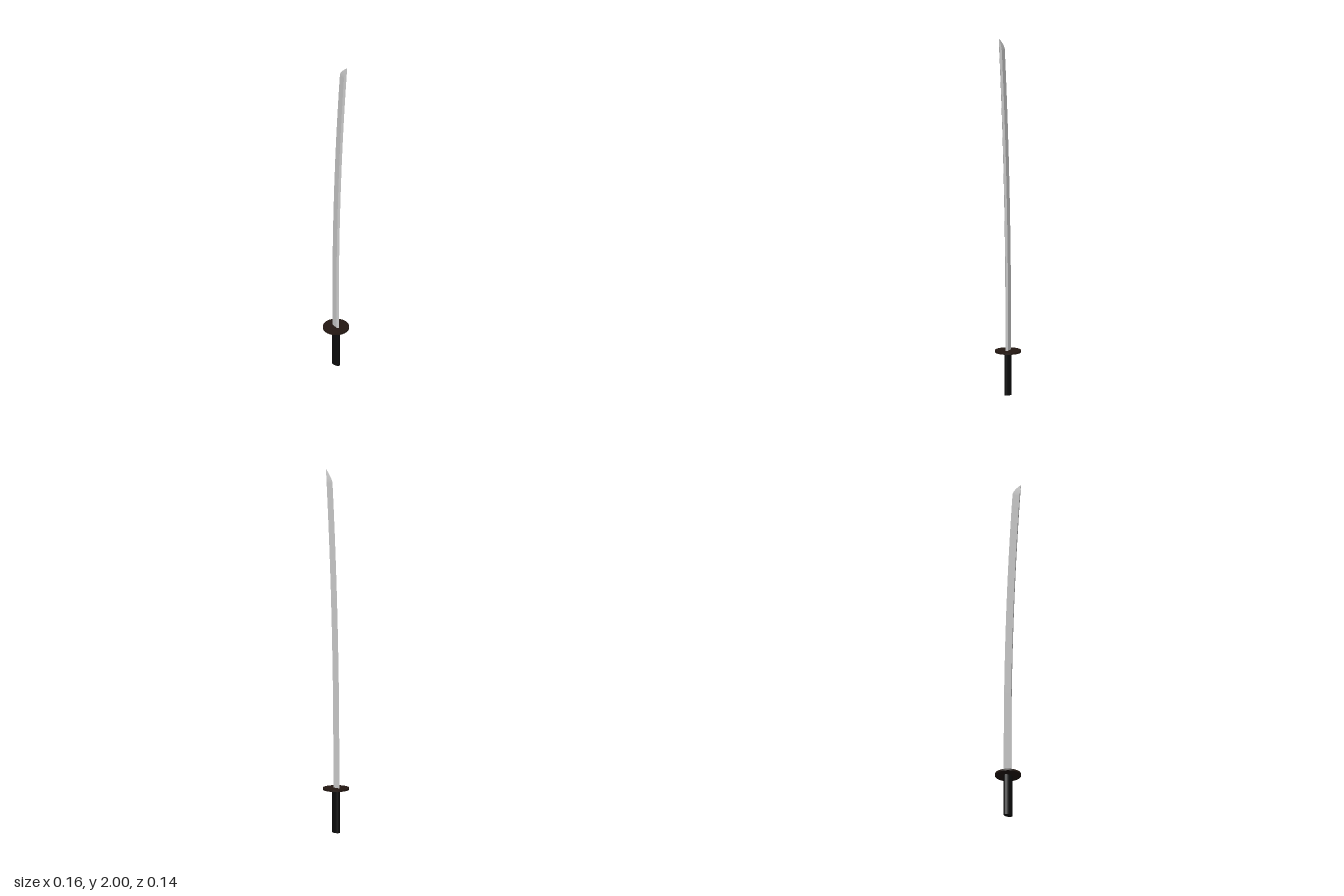
import * as THREE from 'three';

const CENTRE = -0.009; // x of the grip and guard axis

// Backward sweep of the blade at height y
const sweep = (y) => 0.063 * Math.pow(Math.max(0, (y - 0.4) / 1.6), 2);

// Blade lofted from four-cornered sections: cutting edge, front ridge, spine, back ridge
function bladeGeometry() {
  const heights = [];
  for (let i = 0; i <= 24; i++) heights.push(0.24 + (1.93 - 0.24) * i / 24);
  for (let i = 1; i <= 8; i++) heights.push(1.93 + 0.07 * i / 8);

  const sections = heights.map((y) => {
    const t = Math.max(0, (y - 1.93) / 0.07);
    const k = 1 - Math.pow(t, 1.5); // narrows to the point
    const spine = 0.013 + sweep(y);
    const ridge = spine - 0.01 * k;
    return [
      [spine - 0.05 * k, y, 0],
      [ridge, y, 0.009 * k],
      [spine, y, 0],
      [ridge, y, -0.009 * k],
    ];
  });

  const pos = [];
  const quad = (a, b, c, d) => pos.push(...a, ...b, ...c, ...a, ...c, ...d);
  for (let i = 0; i < sections.length - 1; i++) {
    const lo = sections[i], hi = sections[i + 1];
    for (let j = 0; j < 4; j++) {
      const n = (j + 1) % 4;
      quad(lo[j], lo[n], hi[n], hi[j]);
    }
  }
  const base = sections[0];
  quad(base[3], base[2], base[1], base[0]);

  const geo = new THREE.BufferGeometry();
  geo.setAttribute('position', new THREE.Float32BufferAttribute(pos, 3));
  geo.computeVertexNormals();
  return geo;
}

export function createModel() {
  const group = new THREE.Group();
  const add = (name, geo, mat) => {
    const mesh = new THREE.Mesh(geo, mat);
    mesh.name = name;
    group.add(mesh);
    return mesh;
  };

  // Curved single-edged blade
  add('blade', bladeGeometry(), new THREE.MeshStandardMaterial({ color: 0xcccccc, flatShading: true }));

  // Round disc guard
  const guard = new THREE.CylinderGeometry(0.071, 0.071, 0.01, 48);
  add('guard', guard, new THREE.MeshStandardMaterial({ color: 0x241812 }))
    .position.set(CENTRE, 0.243, 0);

  // Oval grip
  const grip = new THREE.CylinderGeometry(1, 1, 0.24, 32);
  grip.scale(0.026, 1, 0.016);
  add('grip', grip, new THREE.MeshStandardMaterial({ color: 0x0c0c0c }))
    .position.set(CENTRE, 0.12, 0);

  return group;
}
